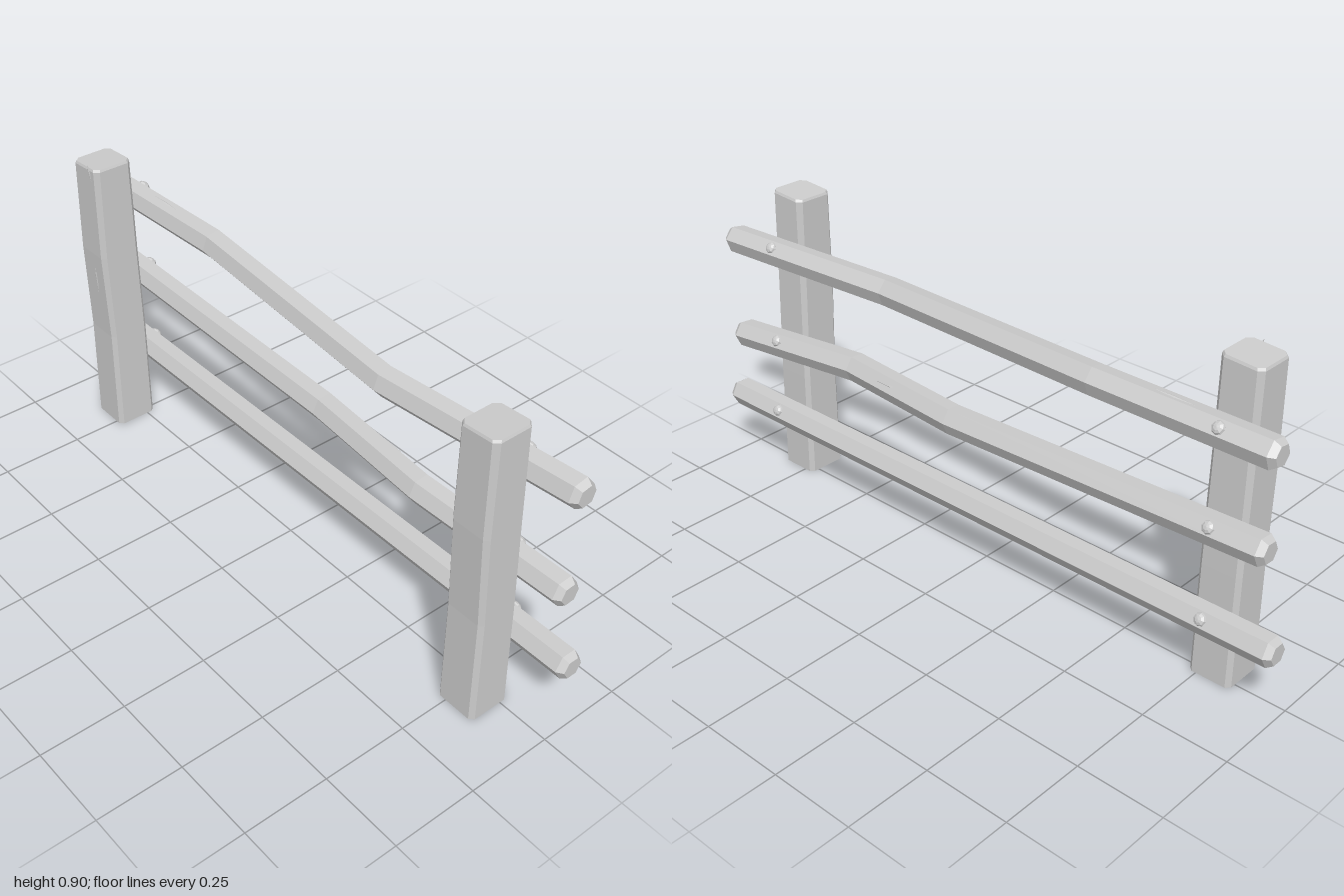
import * as THREE from 'three';

const material = new THREE.MeshStandardMaterial({ color: 0xcccccc, flatShading: true });
const V = (x, y, z) => new THREE.Vector3(x, y, z);

// Skin a list of equal rings (counter-clockwise about the sweep direction) and cap both ends
function loft(rings) {
  const pos = [];
  const tri = (...pts) => pts.forEach((p) => pos.push(p.x, p.y, p.z));
  const n = rings[0].length;
  for (let i = 0; i < rings.length - 1; i++) {
    for (let k = 0; k < n; k++) {
      const j = (k + 1) % n;
      const a = rings[i][k], b = rings[i][j], c = rings[i + 1][j], d = rings[i + 1][k];
      tri(a, b, c);
      tri(a, c, d);
    }
  }
  const first = rings[0], last = rings[rings.length - 1];
  for (let k = 1; k < n - 1; k++) {
    tri(first[0], first[k + 1], first[k]);
    tri(last[0], last[k], last[k + 1]);
  }
  const g = new THREE.BufferGeometry();
  g.setAttribute('position', new THREE.Float32BufferAttribute(pos, 3));
  g.computeVertexNormals();
  return g;
}

function addMesh(parent, name, geometry) {
  const m = new THREE.Mesh(geometry, material);
  m.name = name;
  parent.add(m);
  return m;
}

// Chamfered rectangular section; the tilt lowers its -x side
function postRing(cx, y, zBack, zFront, halfW, chamfer, tilt = 0) {
  const cz = (zBack + zFront) / 2, halfD = (zFront - zBack) / 2;
  const w = halfW - chamfer, d = halfD - chamfer;
  return [
    [halfD, -w], [halfD, w], [d, halfW], [-d, halfW],
    [-halfD, w], [-halfD, -w], [-d, -halfW], [d, -halfW],
  ].map(([z, x]) => V(cx + x, y + tilt * (x / halfW - 1), cz + z));
}

function postGeometry(cx) {
  return loft([
    postRing(cx, 0, -0.028, 0.101, 0.063, 0.012),
    postRing(cx, 0.33, -0.023, 0.101, 0.062, 0.012),
    postRing(cx, 0.61, -0.015, 0.112, 0.061, 0.013),
    postRing(cx, 0.893, -0.01, 0.112, 0.06, 0.014, 0.004),
    postRing(cx, 0.9, -0.007, 0.109, 0.057, 0.014, 0.004),
  ]);
}

const R = 0.0425;

// Hexagonal section across x
function railRing(x, y, z, r, twist) {
  return Array.from({ length: 6 }, (_, k) => {
    const a = Math.PI / 6 + (k * Math.PI) / 3 + twist;
    return V(x, y + r * Math.cos(a), z + r * Math.sin(a));
  });
}

function railGeometry(path, twist) {
  const rings = path.map(([x, y, z], i) => {
    const inset = i === 0 ? 0.018 : i === path.length - 1 ? -0.018 : 0;
    return railRing(x + inset, y, z, R, twist);
  });
  // Bevelled ends
  const s = path[0], e = path[path.length - 1];
  return loft([railRing(...s, R * 0.7, twist), ...rings, railRing(...e, R * 0.7, twist)]);
}

// Centre of a rail at a given x
function railAt(path, x) {
  let i = 0;
  while (i < path.length - 2 && path[i + 1][0] < x) i++;
  const p = path[i], q = path[i + 1];
  return V(...p).lerp(V(...q), (x - p[0]) / (q[0] - p[0]));
}

export function createModel() {
  const group = new THREE.Group();
  group.name = 'fence';

  // Posts
  addMesh(group, 'rightPost', postGeometry(-0.788));
  addMesh(group, 'leftPost', postGeometry(0.781));

  // Rails, each with a peg behind either post
  const rails = [
    { name: 'bottomRail', twist: 0, path: [[-1, 0.211, -0.067], [1, 0.211, -0.067]] },
    { name: 'middleRail', twist: 0.08,
      path: [[-0.95, 0.477, -0.065], [0.06, 0.453, -0.07], [0.48, 0.455, -0.035], [0.96, 0.428, -0.066]] },
    { name: 'topRail', twist: 0.17,
      path: [[-0.95, 0.733, -0.058], [-0.42, 0.743, -0.068], [0.35, 0.727, -0.018], [0.965, 0.735, -0.066]] },
  ];
  for (const { name, twist, path } of rails) {
    const rail = new THREE.Group();
    rail.name = name;
    group.add(rail);
    addMesh(rail, name + 'Beam', railGeometry(path, twist));
    const a = -Math.PI / 3 + twist;
    const normal = V(0, Math.cos(a), Math.sin(a));
    for (const x of [-0.795, 0.775]) {
      const peg = addMesh(rail, 'peg', new THREE.SphereGeometry(0.018, 8, 6));
      peg.scale.y = 0.65;
      peg.quaternion.setFromUnitVectors(V(0, 1, 0), normal);
      peg.position.copy(railAt(path, x)).addScaledVector(normal, R * 0.866);
    }
  }

  // Slender splits in the wood: position, half sizes, tilt about z
  const splits = [
    [[-0.781, 0.54, 0.108], [0.007, 0.07, 0.003], 0.06],
    [[-0.763, 0.88, 0.112], [0.006, 0.025, 0.002], 0.3],
    [[-0.65, 0.776, -0.062], [0.06, 0.002, 0.005], 0.02],
    [[0.3, 0.474, -0.08], [0.06, 0.005, 0.003], 0],
  ];
  for (const [p, s, tilt] of splits) {
    const split = addMesh(group, 'woodSplit', new THREE.OctahedronGeometry(1));
    split.position.set(...p);
    split.scale.set(...s);
    split.rotation.z = tilt;
  }
  return group;
}
